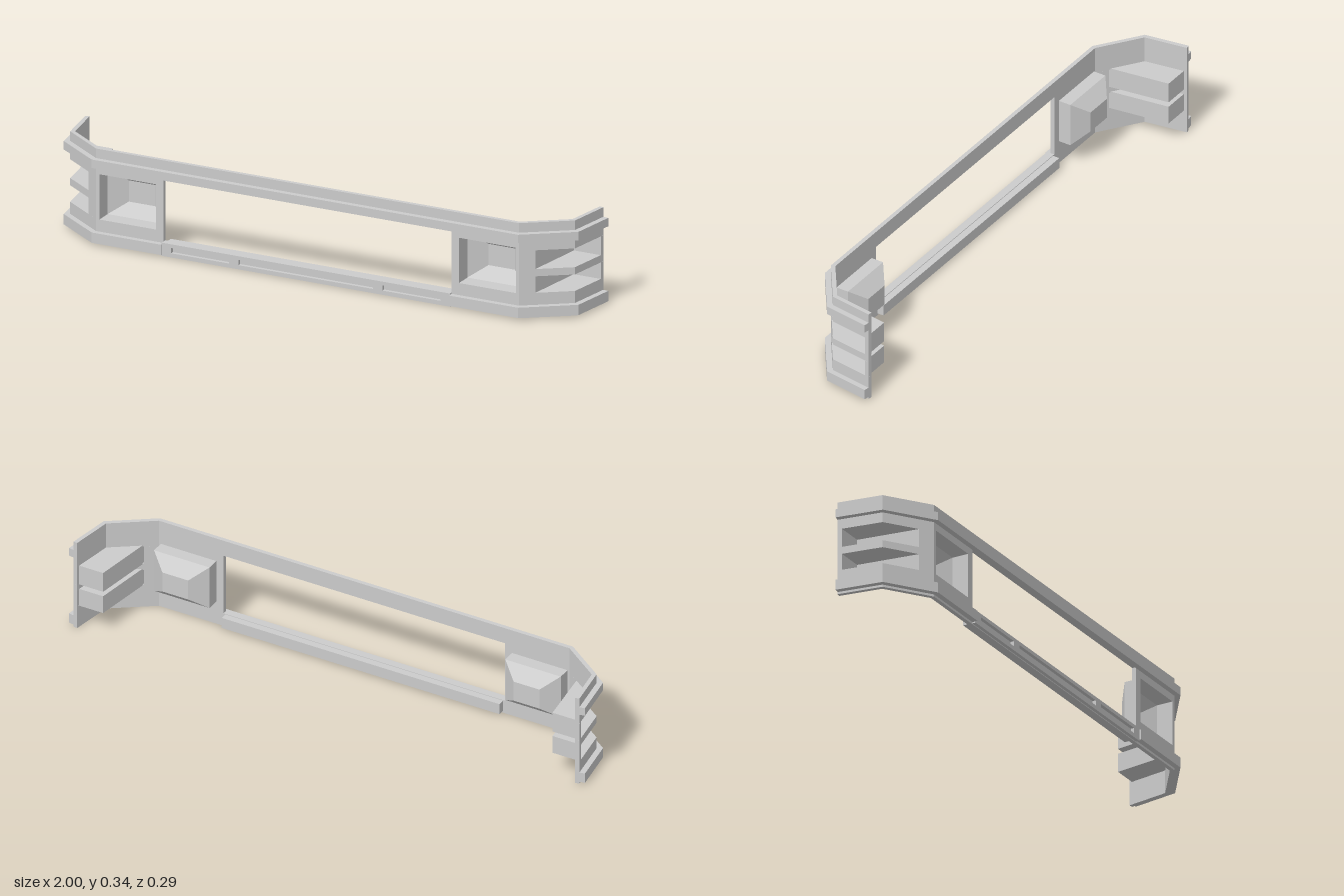
import * as THREE from 'three';

const mat = new THREE.MeshStandardMaterial({ color: 0xcccccc, flatShading: true });
const sheet = new THREE.MeshStandardMaterial({ color: 0xcccccc, flatShading: true, side: THREE.DoubleSide });

// Plan path [x, z] of one corner, from the front bend to the rear end
const CORNER = [[0.8, 0.125], [0.955, 0.015], [0.98, -0.145]];
const mirrored = (path) => [...path.map(([x, z]) => [-x, z]).reverse(), ...path];

// Offsets a plan path sideways with mitred joints (positive is inward)
function offset(path, t) {
  const normals = path.slice(1).map(([x, z], i) => {
    const dx = x - path[i][0], dz = z - path[i][1], l = Math.hypot(dx, dz);
    return [dz / l, -dx / l];
  });
  return path.map(([x, z], i) => {
    const a = normals[Math.max(i - 1, 0)], b = normals[Math.min(i, normals.length - 1)];
    const k = t / (1 + a[0] * b[0] + a[1] * b[1]);
    return [x + (a[0] + b[0]) * k, z + (a[1] + b[1]) * k];
  });
}

// Extrudes a plan polygon upward from y0 to y1
function slab(points, y0, y1, side = 1) {
  const shape = new THREE.Shape(points.map(([x, z]) => new THREE.Vector2(x * side, -z)));
  return new THREE.ExtrudeGeometry(shape, { depth: y1 - y0, bevelEnabled: false })
    .rotateX(-Math.PI / 2).translate(0, y0, 0);
}

// Upright wall of thickness t along a plan path
const wall = (path, t, y0, y1, side) => slab([...path, ...offset(path, t).reverse()], y0, y1, side);

// Upright plate with rectangular holes; rectangles are [x0, x1, y0, y1]
function plate(rect, holes, z0, z1) {
  const corners = ([x0, x1, y0, y1]) =>
    [[x0, y0], [x1, y0], [x1, y1], [x0, y1]].map((p) => new THREE.Vector2(...p));
  const shape = new THREE.Shape(corners(rect));
  holes.forEach((h) => shape.holes.push(new THREE.Path(corners(h))));
  return new THREE.ExtrudeGeometry(shape, { depth: z1 - z0, bevelEnabled: false }).translate(0, 0, z0);
}

// Open lamp bucket lofted through rectangles [centreY, halfWidth, halfHeight, z]
function bucket(cx, rings) {
  const pos = [], index = [];
  for (const [cy, w, h, z] of rings)
    for (const [sx, sy] of [[-1, -1], [1, -1], [1, 1], [-1, 1]]) pos.push(cx + sx * w, cy + sy * h, z);
  for (let r = 0; r < rings.length - 1; r++)
    for (let i = 0; i < 4; i++) {
      const a = r * 4 + i, b = r * 4 + (i + 1) % 4;
      index.push(a, b, b + 4, a, b + 4, a + 4);
    }
  const e = (rings.length - 1) * 4;
  index.push(e, e + 1, e + 2, e, e + 2, e + 3);
  const g = new THREE.BufferGeometry();
  g.setAttribute('position', new THREE.Float32BufferAttribute(pos, 3));
  g.setIndex(index);
  const flat = g.toNonIndexed();
  flat.computeVertexNormals();
  return flat;
}

export function createModel() {
  const root = new THREE.Group();
  root.name = 'bumper';
  const add = (name, geometry, parent = root, material = mat) => {
    const mesh = new THREE.Mesh(geometry, material);
    mesh.name = name;
    parent.add(mesh);
  };

  // Full-width beams and the upper trim strip
  const full = mirrored(CORNER);
  add('upperBeam', wall(full, 0.015, 0.28, 0.34));
  add('lowerBeam', wall(full, 0.015, 0, 0.05));
  add('upperTrim', wall(full, -0.02, 0.276, 0.306));

  // Lower centre grille with three recessed slots, and the ledge behind it
  const slots = [[-0.51, -0.29], [-0.255, 0.255], [0.29, 0.51]].map(([a, b]) => [a, b, 0.018, 0.037]);
  add('lowerGrille', plate([-0.545, 0.545, 0.003, 0.05], slots, 0.125, 0.138));
  add('lowerLedge', new THREE.BoxGeometry(1.076, 0.04, 0.027).translate(0, 0.028, 0.0985));

  const vents = [[0.088, 0.147], [0.173, 0.24]];
  const ventFront = [0.845, 0.093], ventRear = [0.978, -0.13];
  for (const side of [1, -1]) {
    const half = new THREE.Group();
    half.name = side > 0 ? 'leftSide' : 'rightSide';
    root.add(half);

    // Lamp panel with its tapered bucket
    const sx = (a, b) => (side > 0 ? [a, b] : [-b, -a]);
    add('lampPanel', plate([...sx(0.545, 0.8), 0.05, 0.28], [[...sx(0.573, 0.788), 0.088, 0.25]], 0.11, 0.125), half);
    add('lampBucket', bucket(side * 0.6805, [
      [0.169, 0.1075, 0.081, 0.125], [0.169, 0.1075, 0.081, 0.064], [0.166, 0.05, 0.038, 0.02],
    ]), half, sheet);

    // Lower trim strip, from the grille round the corner
    add('lowerTrim', wall([[0.545, 0.125], ...CORNER], -0.02, 0.008, 0.045, side), half);

    // Corner skin between the vents, and the strips at the vent ends
    for (const [y0, y1] of [[0.05, 0.088], [0.147, 0.173], [0.24, 0.28]])
      add('cornerSkin', wall(CORNER, 0.015, y0, y1, side), half);
    for (const [y0, y1] of vents) {
      add('ventFrontPost', wall([CORNER[0], ventFront], 0.015, y0, y1, side), half);
      add('ventRearPost', wall([ventRear, CORNER[2]], 0.015, y0, y1, side), half);

      // Recessed vent tub: floor, roof, inner and rear walls
      const walls = [ventFront, [0.876, -0.13], ventRear];
      const outline = [...offset(walls, 0.006), CORNER[1]];
      add('ventFloor', slab(outline, y0 - 0.004, y0, side), half);
      add('ventRoof', slab(outline, y1, y1 + 0.004, side), half);
      add('ventWalls', wall(walls, 0.006, y0, y1, side), half);
    }
  }
  return root;
}
